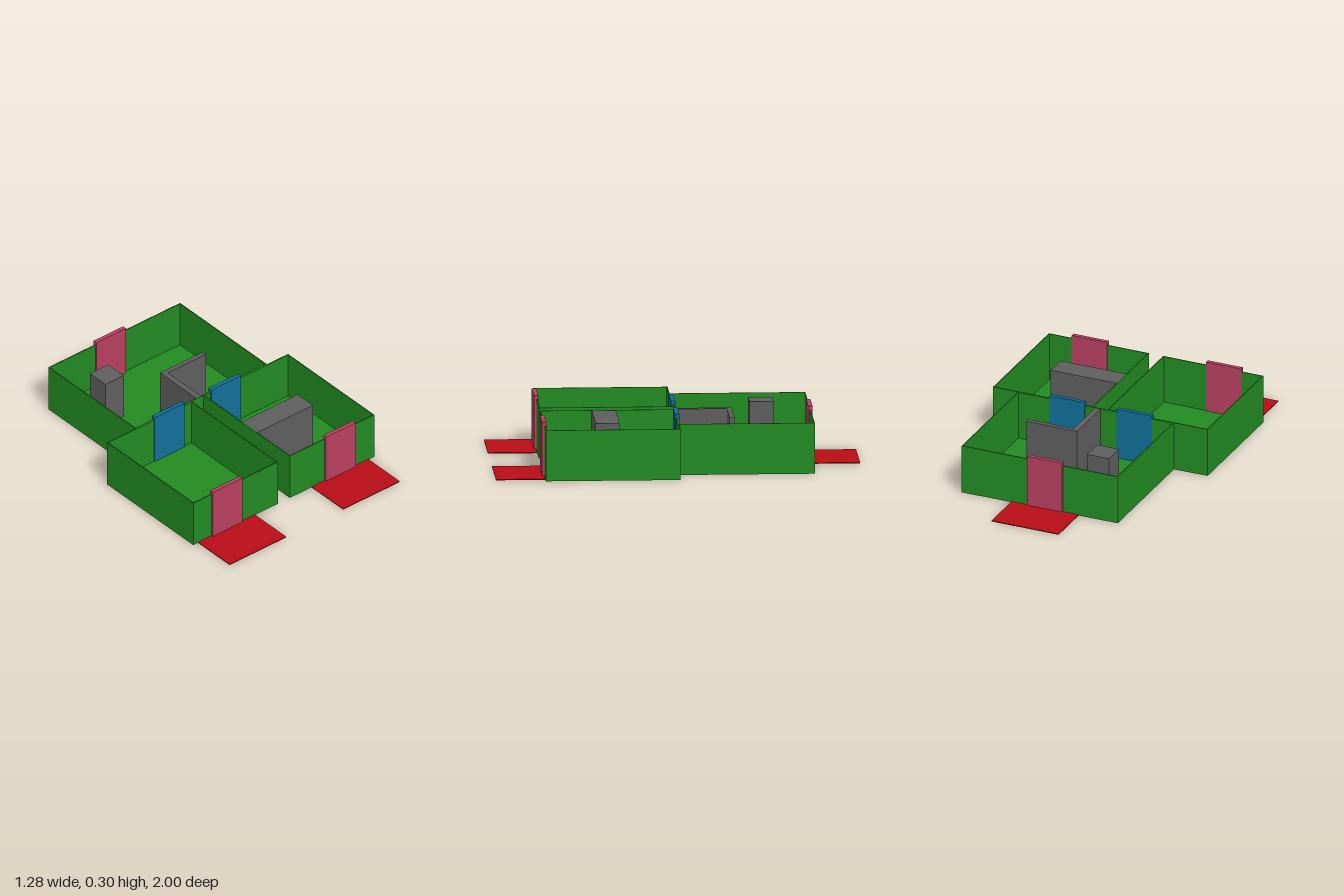
import * as THREE from 'three';

const WALL_TOP = 0.28, THICK = 0.006;
const paint = (color) => new THREE.MeshStandardMaterial({ color });

export function createModel() {
  const model = new THREE.Group();
  const green = paint(0x228b22), red = paint(0xb90e16), pink = paint(0xb84060);
  const blue = paint(0x10709a), grey = paint(0x5e5e5e);

  // Box given by its extents along each axis
  function block(name, material, [x0, x1], [y0, y1], [z0, z1], parent = model) {
    const mesh = new THREE.Mesh(new THREE.BoxGeometry(x1 - x0, y1 - y0, z1 - z0), material);
    mesh.position.set((x0 + x1) / 2, (y0 + y1) / 2, (z0 + z1) / 2);
    mesh.name = name;
    parent.add(mesh);
  }

  // Open-topped room: floor slab and four thin walls
  function room(name, [x0, x1], [z0, z1]) {
    const group = new THREE.Group();
    group.name = name;
    const y = [THICK, WALL_TOP];
    block('floor', green, [x0, x1], [0, THICK], [z0, z1], group);
    block('backWall', green, [x0, x1], y, [z0, z0 + THICK], group);
    block('frontWall', green, [x0, x1], y, [z1 - THICK, z1], group);
    block('rightWall', green, [x0, x0 + THICK], y, [z0 + THICK, z1 - THICK], group);
    block('leftWall', green, [x1 - THICK, x1], y, [z0 + THICK, z1 - THICK], group);
    model.add(group);
  }
  room('backRoom', [-0.44, 0.49], [-0.737, 0]);
  room('frontRightRoom', [-0.64, -0.043], [0, 0.732]);
  room('frontLeftRoom', [0.041, 0.638], [0, 0.732]);

  // Doors stand slightly proud of the walls on both faces
  const door = (name, material, x, z) =>
    block(name, material, [x - 0.105, x + 0.105], [THICK, 0.3], [z - 0.012, z + 0.012]);
  door('backOuterDoor', pink, -0.008, -0.735);
  door('frontRightOuterDoor', pink, -0.408, 0.733);
  door('frontLeftOuterDoor', pink, 0.392, 0.733);
  door('rightInnerDoor', blue, -0.208, 0);
  door('leftInnerDoor', blue, 0.192, 0);

  // Flat mats outside the outer doors
  const mat = (name, x, z) => block(name, red, [x - 0.2, x + 0.2], [0, 0.005], z);
  mat('backMat', -0.007, [-1, -0.738]);
  mat('frontRightMat', -0.407, [0.733, 1]);
  mat('frontLeftMat', 0.394, [0.733, 1]);

  // Furniture and the L-shaped partition, level with the wall tops
  const y = [THICK, 0.279];
  block('pillar', grey, [-0.302, -0.172], y, [-0.55, -0.418]);
  block('partitionLong', grey, [-0.005, 0.027], y, [-0.285, -0.008]);
  block('partitionShort', grey, [-0.005, 0.297], y, [-0.312, -0.285]);
  block('counter', grey, [0.047, 0.44], y, [0.32, 0.45]);
  return model;
}
